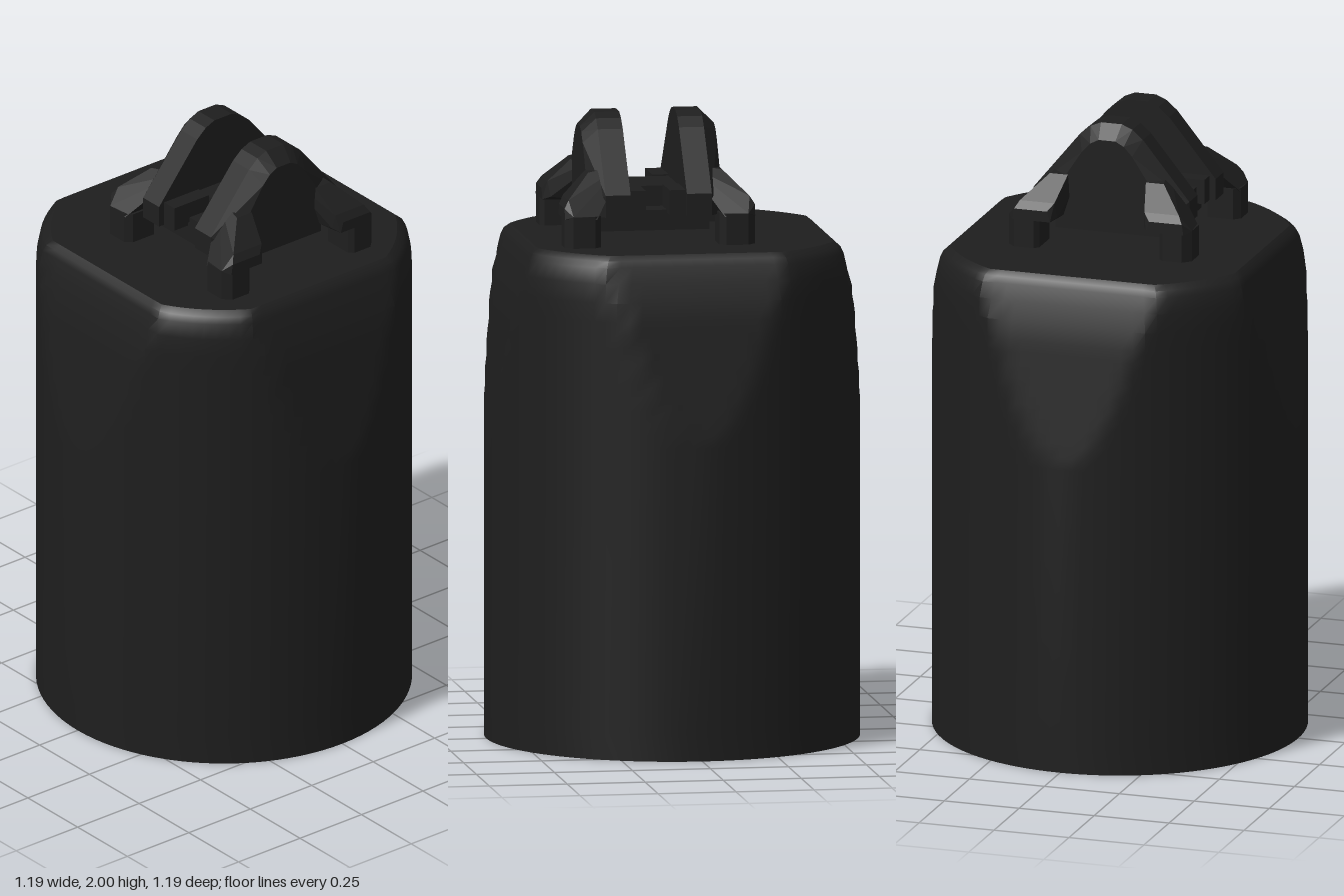
import * as THREE from 'three';
import { toCreasedNormals } from 'three/addons/utils/BufferGeometryUtils.js';
import { ConvexGeometry } from 'three/addons/geometries/ConvexGeometry.js';

const SEG = 96, RADIUS = 0.595, RECESS = 0.09, LUG_Z = 0.085;
const V = (x, y, z) => new THREE.Vector3(x, y, z);

export function createModel() {
  const model = new THREE.Group();
  const mat = new THREE.MeshStandardMaterial({ color: 0x1e1e1e });
  const flat = new THREE.MeshStandardMaterial({ color: 0x1e1e1e, flatShading: true });

  const add = (parent, name, geo, material = flat) => {
    const mesh = new THREE.Mesh(geo, material);
    mesh.name = name;
    parent.add(mesh);
    return mesh;
  };
  const box = (parent, name, x0, x1, y0, y1, z0, z1) =>
    add(parent, name, new THREE.BoxGeometry(x1 - x0, y1 - y0, z1 - z0))
      .position.set((x0 + x1) / 2, (y0 + y1) / 2, (z0 + z1) / 2);

  // Body: round section, shaved by four flats that lean inwards towards the top.
  // Each row is [height, half width across flats, radius].
  const rows = [[RECESS, 0, 0], [RECESS, RADIUS, RADIUS]];
  for (let i = 0; i <= 10; i++) rows.push([1 + 0.04 * i, RADIUS - 0.005 * i, RADIUS]);
  rows.push([1.46, 0.534, RADIUS], [1.52, 0.517, 0.592], [1.57, 0.502, 0.582],
    [1.59, 0.493, 0.57], [1.605, 0.475, 0.548], [1.605, 0, 0]);
  const positions = [], index = [];
  rows.forEach(([y, half, radius]) => {
    for (let j = 0; j < SEG; j++) {
      const a = (j / SEG) * Math.PI * 2, c = Math.cos(a), s = Math.sin(a);
      const r = Math.min(radius, half / Math.max(Math.abs(c), Math.abs(s)));
      // straight wall rows stay fully round
      const rr = half >= RADIUS ? radius : r;
      positions.push(rr * c, y, rr * s);
    }
  });
  for (let i = 0; i < rows.length - 1; i++) {
    for (let j = 0; j < SEG; j++) {
      const k = (j + 1) % SEG, a = i * SEG + j, b = i * SEG + k, c = a + SEG, d = b + SEG;
      index.push(a, c, b, b, c, d);
    }
  }
  const bodyGeo = new THREE.BufferGeometry();
  bodyGeo.setAttribute('position', new THREE.Float32BufferAttribute(positions, 3));
  bodyGeo.setIndex(index);
  add(model, 'body', toCreasedNormals(bodyGeo, 0.5), mat);

  // Base rim: the round socket with its key notch is cut through it
  const rim = new THREE.Shape();
  rim.absarc(0, 0, RADIUS, 0, Math.PI * 2, false);
  const socket = new THREE.Path();
  const notch = Math.asin(0.11 / 0.27);
  socket.absarc(0, 0, 0.27, -Math.PI + notch, Math.PI - notch, false);
  socket.lineTo(-0.36, 0.11);
  socket.lineTo(-0.36, -0.11);
  socket.closePath();
  rim.holes.push(socket);
  const rimGeo = new THREE.ExtrudeGeometry(rim, { depth: RECESS, bevelEnabled: false, curveSegments: SEG / 2 });
  rimGeo.rotateX(-Math.PI / 2);
  add(model, 'baseRim', toCreasedNormals(rimGeo, 0.5), mat);

  // Top mount, symmetric about its own centre
  const mount = new THREE.Group();
  mount.name = 'topMount';
  mount.position.z = LUG_Z;
  model.add(mount);
  box(mount, 'lowerPlate', -0.185, 0.185, 1.64, 1.705, -0.175, 0.175);
  box(mount, 'bridge', -0.1, 0.1, 1.69, 1.77, -0.095, 0.095);

  // Lug: rounded triangular plate with its outer edge chamfered
  const half = [[0.035, 2], [0.07, 1.985], [0.105, 1.955], [0.26, 1.765], [0.26, 1.695]];
  const lugPoints = [];
  for (const [x, y] of half) {
    for (const s of [-1, 1]) {
      lugPoints.push(V(s * x, y, 0.09), V(s * x, y, 0.17));
      lugPoints.push(V(s * x * 0.8, y > 1.7 ? y - 0.045 : y, 0.215));
    }
  }
  const lugGeo = new ConvexGeometry(lugPoints);

  for (const side of [1, -1]) {
    const lug = new THREE.Group();
    lug.name = side > 0 ? 'frontLug' : 'backLug';
    lug.rotation.y = side > 0 ? 0 : Math.PI;
    mount.add(lug);
    add(lug, 'lugPlate', lugGeo);

    for (const s of [1, -1]) {
      // Inner clamp block
      const [x0, x1] = s > 0 ? [0.1, 0.24] : [-0.24, -0.1];
      box(lug, 'clampBlock', x0, x1, 1.695, 1.775, 0.038, 0.1);

      // Buttress flaring from the plate out to the foot
      const buttress = [[0.09, 0.17, 1.85, 0.1], [0.13, 0.19, 1.83, 0.215],
        [0.15, 0.265, 1.755, 0.29], [0.17, 0.28, 1.73, 0.305],
        [0.16, 0.285, 1.695, 0.305], [0.145, 0.305, 1.705, 0.28], [0.145, 0.305, 1.695, 0.205]];
      add(lug, 'buttress', new ConvexGeometry(buttress.flatMap(([a, b, y, z]) =>
        [V(s * a, y, z), V(s * b, y, z)])));

      // Foot with chamfered corners
      const foot = [];
      for (const y of [1.59, 1.705]) {
        for (const [x, z] of [[0.2, 0.19], [0.285, 0.19], [0.305, 0.21], [0.305, 0.28],
          [0.28, 0.305], [0.215, 0.305], [0.2, 0.29]]) foot.push(V(s * x, y, z));
      }
      add(lug, 'foot', new ConvexGeometry(foot));
    }
  }
  return model;
}
